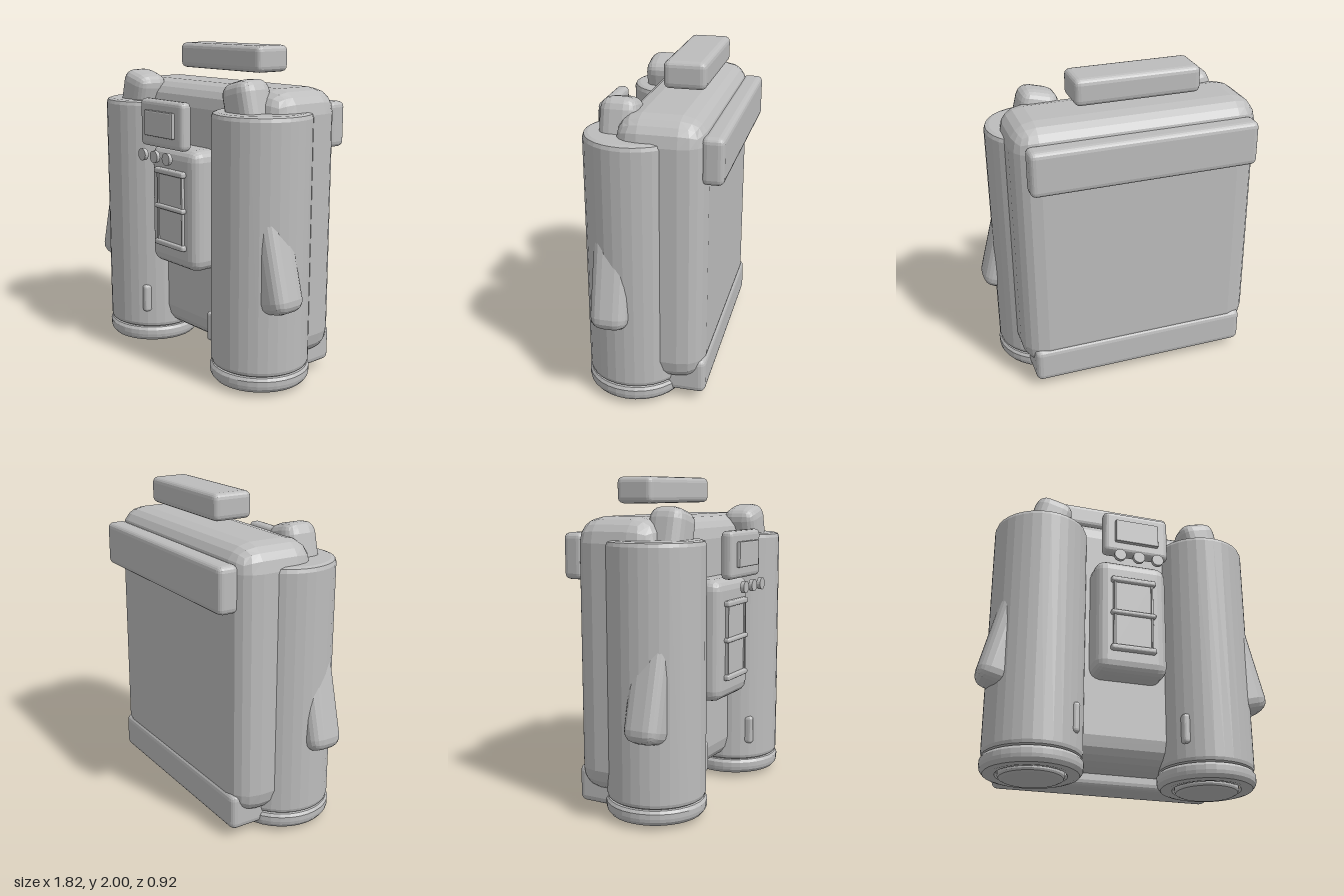
import * as THREE from 'three';
import { RoundedBoxGeometry } from 'three/addons/geometries/RoundedBoxGeometry.js';

const grey = new THREE.MeshStandardMaterial({ color: 0xbcbcbc, flatShading: true });
grey.name = 'grey';

export function createModel() {
  const model = new THREE.Group();
  model.name = 'backpack';

  const add = (name, geometry, x = 0, y = 0, z = 0) => {
    const mesh = new THREE.Mesh(geometry, grey);
    mesh.name = name;
    mesh.position.set(x, y, z);
    model.add(mesh);
    return mesh;
  };

  // Bevelled box given by its extents on each axis
  const box = (name, [x0, x1], [y0, y1], [z0, z1], radius, segments = 2) =>
    add(name, new RoundedBoxGeometry(x1 - x0, y1 - y0, z1 - z0, segments, radius),
      (x0 + x1) / 2, (y0 + y1) / 2, (z0 + z1) / 2);

  // Main pack, back bars and floating top handle
  box('body', [-0.76, 0.76], [0.13, 1.77], [-0.365, 0.165], 0.15);
  box('upperBackBar', [-0.695, 0.695], [1.4, 1.675], [-0.46, -0.33], 0.035);
  box('lowerBackBar', [-0.7, 0.7], [0.05, 0.28], [-0.375, -0.12], 0.04);
  box('topHandle', [-0.38, 0.38], [1.84, 2], [-0.29, -0.04], 0.035);

  // Control panel with a screen above it
  box('controlPanel', [-0.23, 0.23], [0.63, 1.385], [0.08, 0.33], 0.07);
  box('screenFrame', [-0.21, 0.21], [1.39, 1.68], [0.33, 0.41], 0.03);
  box('screen', [-0.14, 0.14], [1.46, 1.615], [0.395, 0.432], 0.008, 1);

  // Framed plate with crossbars
  box('panelPlate', [-0.115, 0.115], [0.79, 1.22], [0.31, 0.343], 0.006, 1);
  for (const s of [-1, 1]) {
    box('panelRail', [s * 0.12 - 0.007, s * 0.12 + 0.007], [0.79, 1.22], [0.31, 0.35], 0.004, 1);
  }
  for (const [y, h] of [[1.235, 0.036], [1.01, 0.03], [0.777, 0.036]]) {
    box('panelCrossbar', [-0.143, 0.143], [y - h / 2, y + h / 2], [0.315, 0.362], 0.012);
  }

  // Three buttons
  for (const x of [-0.12, 0, 0.12]) {
    const button = add('button', new THREE.CylinderGeometry(0.037, 0.037, 0.024, 20), x, 1.345, 0.452);
    button.rotation.x = Math.PI / 2;
  }

  // Lathe profiles, listed from the bottom centre upwards
  const lathe = (points) =>
    new THREE.LatheGeometry(points.map(([r, y]) => new THREE.Vector2(r, y)), 32);
  const tankShape = lathe([
    [0, 0.12], [0.275, 0.12], [0.29, 0.13], [0.296, 0.15],
    [0.296, 1.61], [0.288, 1.632], [0.265, 1.64], [0, 1.64],
  ]);
  const ringShape = lathe([
    [0.2, 0.04], [0.21, 0.025], [0.25, 0.018], [0.28, 0.027], [0.298, 0.05],
    [0.302, 0.07], [0.302, 0.1], [0.29, 0.118], [0.26, 0.125], [0, 0.125],
  ]);
  const capShape = lathe([[0, 0], [0.17, 0], [0.188, 0.008], [0.195, 0.02], [0.195, 0.06]]);

  // Mirrored tanks, each crossed by a slanted arm
  for (const [side, s] of [['left', 1], ['right', -1]]) {
    add(side + 'Tank', tankShape, s * 0.54, 0, 0.08);
    add(side + 'TankRing', ringShape, s * 0.54, 0, 0.08);
    add(side + 'TankCap', capShape, s * 0.54, 0, 0.08);

    const arm = add(side + 'Arm', new RoundedBoxGeometry(0.245, 1.35, 0.225, 2, 0.075), s * 0.64, 1.16, 0.165);
    arm.rotation.z = s * 0.25;

    // Small upright tab low on the tank
    box(side + 'TankTab', [s * 0.337 - 0.024, s * 0.337 + 0.024], [0.235, 0.42], [0.25, 0.315], 0.02);
  }

  return model;
}
